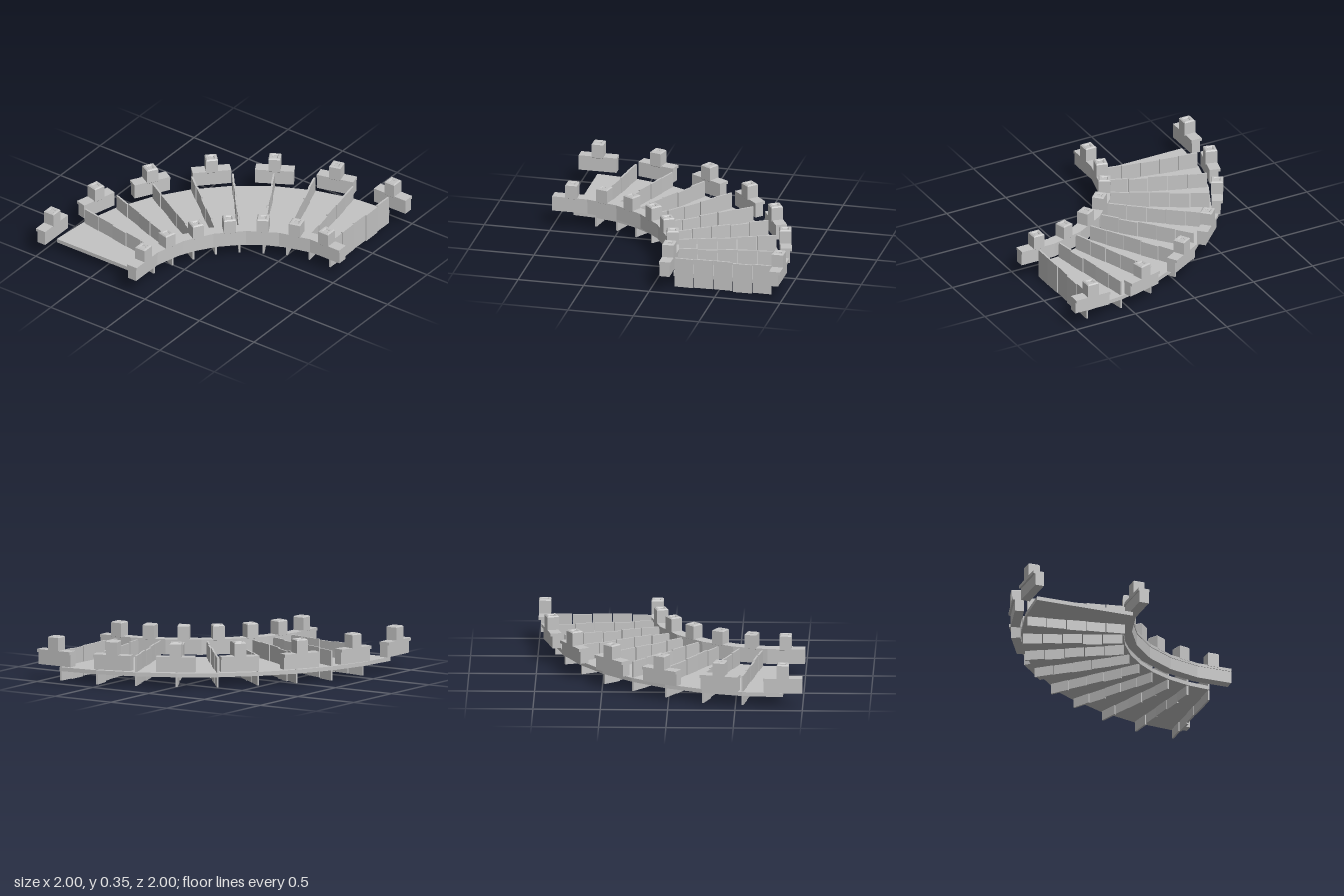
import * as THREE from 'three';

const CX = -0.855, CZ = 0.855;          // centre of the bend
const rad = THREE.MathUtils.degToRad;

export function createModel() {
  const model = new THREE.Group();
  model.name = 'curvedConveyor';
  const grey = new THREE.MeshStandardMaterial({ color: 0xc4c4c4 });
  grey.name = 'light grey';

  const bend = new THREE.Group();
  bend.name = 'bend';
  bend.position.set(CX, 0, CZ);
  model.add(bend);

  const add = (parent, name, geo, x = 0, y = 0, z = 0) => {
    const m = new THREE.Mesh(geo, grey);
    m.name = name;
    m.position.set(x, y, z);
    parent.add(m);
    return m;
  };
  // group turned about the bend centre; radius r lies at local z = -r
  const spoke = (name, deg) => {
    const g = new THREE.Group();
    g.name = name;
    g.rotation.y = -rad(deg);
    bend.add(g);
    return g;
  };
  // plan point at a radius and angle, with shape y pointing to the back
  const polar = (r, deg) => new THREE.Vector2(r * Math.sin(rad(deg)), r * Math.cos(rad(deg)));
  // flat outline raised from y0 to y1
  const slab = (points, y0, y1) => {
    const g = new THREE.ExtrudeGeometry(new THREE.Shape(points), { depth: y1 - y0, bevelEnabled: false });
    g.rotateX(-Math.PI / 2);
    g.translate(0, y0, 0);
    return g;
  };

  // belt: sector of nine straight-edged segments
  const belt = [];
  for (let a = 0; a <= 90; a += 10) belt.push(polar(1.768, a));
  for (let a = 90; a >= 0; a -= 10) belt.push(polar(1.005, a));
  add(bend, 'belt', slab(belt, 0.08, 0.11));

  // rows of flaps standing through the belt
  const flapPitch = 0.149;
  for (let row = 1; row <= 9; row++) {
    const g = spoke('flapRow', row * 10);
    for (let i = 0; i < 5; i++) {
      const low = (i + row) % 3 === 0 ? 0 : 0.006;
      const flap = add(g, 'flap', new THREE.BoxGeometry(0.014, 0.226, 0.143),
        (i % 2 ? 0.002 : -0.002), low + 0.113, -(1.012 + flapPitch * (i + 0.5)));
      flap.rotation.y = (i % 2 ? 1 : -1) * 0.012;
    }
  }

  // inner rail: straight facets centred on each post, with straight run-outs
  const railOutline = (r0, r1) => {
    const side = (r) => {
      const p = [new THREE.Vector2(-0.145, r)];
      for (let a = 7.5; a < 90; a += 15) p.push(polar(r / Math.cos(rad(7.5)), a));
      p.push(new THREE.Vector2(r, -0.145));
      return p;
    };
    return [...side(r1), ...side(r0).reverse()];
  };
  add(bend, 'innerRail', slab(railOutline(0.935, 1.01), 0.13, 0.222));
  add(bend, 'innerRailCap', slab(railOutline(0.93, 1.018), 0.222, 0.245));

  // post: bevelled square column with a shallow socket on top
  const square = (s, Type) => {
    const h = s / 2;
    return new Type([[-h, -h], [h, -h], [h, h], [-h, h]].map(([x, y]) => new THREE.Vector2(x, y)));
  };
  const postShape = square(0.074, THREE.Shape);
  postShape.holes.push(square(0.05, THREE.Path));
  const postGeo = new THREE.ExtrudeGeometry(postShape, {
    depth: 0.104, bevelEnabled: true, bevelThickness: 0.008, bevelSize: 0.008, bevelSegments: 1,
  });
  postGeo.rotateX(-Math.PI / 2);
  const socketGeo = new THREE.BoxGeometry(0.05, 0.1, 0.05);

  const addPost = (g, r) => {
    add(g, 'post', postGeo, 0, 0.238, -r);
    add(g, 'postSocket', socketGeo, 0, 0.29, -r);
  };

  for (let i = 0; i < 7; i++) {
    const inner = spoke('innerPost', i * 15);
    addPost(inner, 0.974);

    // outer rail: one separate piece under each post
    const outer = spoke('outerRailPiece', i * 15);
    add(outer, 'outerRail', new THREE.BoxGeometry(0.288, 0.092, 0.068), 0, 0.176, -1.805);
    add(outer, 'outerRailCap', new THREE.BoxGeometry(0.29, 0.023, 0.085), 0, 0.2335, -1.8125);
    addPost(outer, 1.81);
  }
  return model;
}
